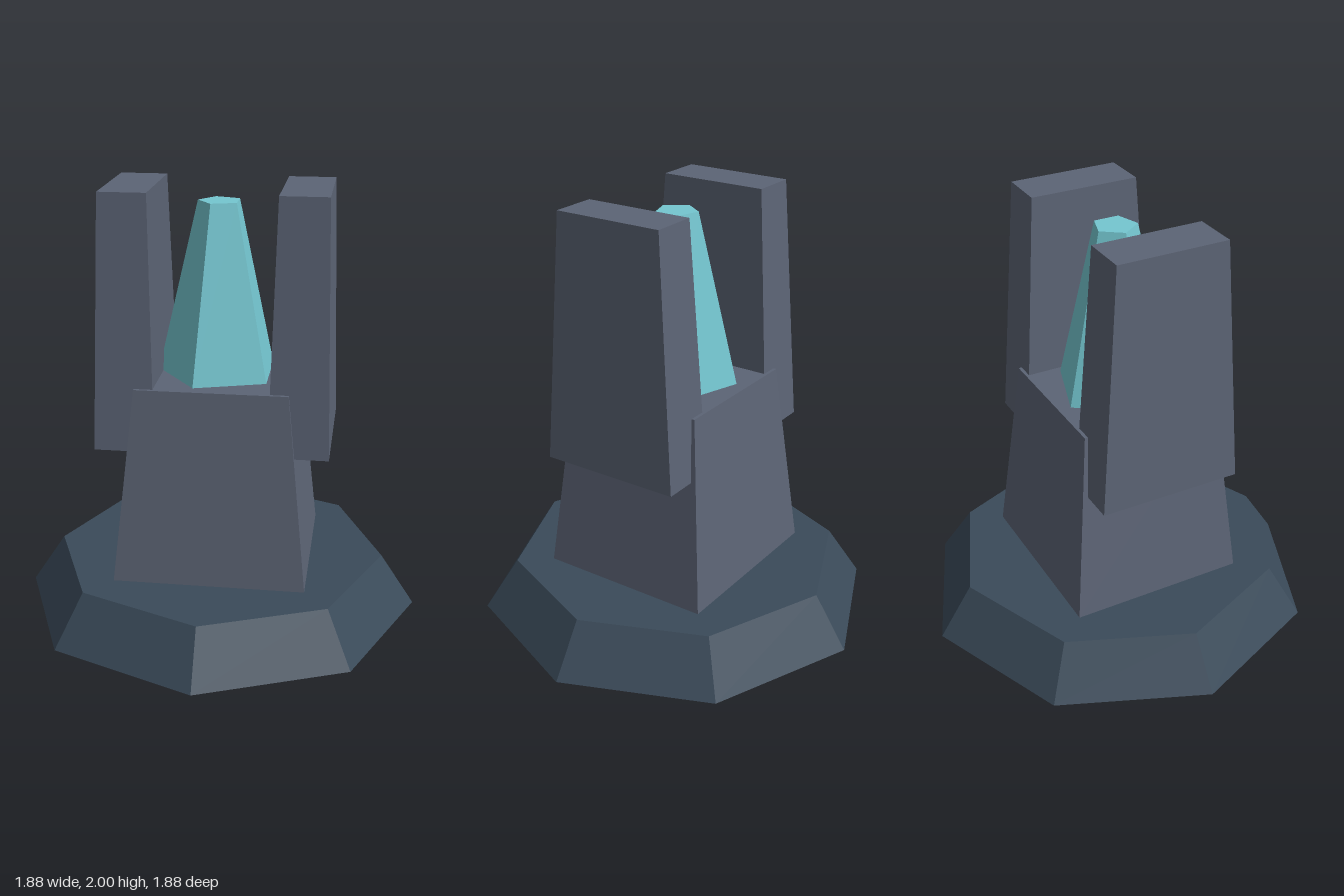
import * as THREE from 'three';

const flat = (name, color) => {
  const m = new THREE.MeshStandardMaterial({ color });
  m.name = name;
  m.flatShading = true;
  return m;
};

// Box whose top is scaled to a smaller width and depth
function taperedBox(w0, d0, w1, d1, y0, y1) {
  const g = new THREE.BoxGeometry(1, y1 - y0, 1);
  const p = g.attributes.position;
  for (let i = 0; i < p.count; i++) {
    const top = p.getY(i) > 0;
    p.setX(i, p.getX(i) * (top ? w1 : w0));
    p.setZ(i, p.getZ(i) * (top ? d1 : d0));
  }
  g.translate(0, (y0 + y1) / 2, 0);
  g.computeVertexNormals();
  return g;
}

export function createModel() {
  const slate = flat('darkSlate', 0x3a4a59);
  const stone = flat('greyStone', 0x5c6475);
  const glow = flat('paleTurquoise', 0x74c6d0);

  const group = new THREE.Group();
  const add = (name, geometry, material) => {
    const mesh = new THREE.Mesh(geometry, material);
    mesh.name = name;
    group.add(mesh);
    return mesh;
  };

  // Eight-sided plinth with corners on the axes
  add('base', new THREE.CylinderGeometry(0.78, 0.938, 0.24, 8), slate).position.y = 0.12;

  // Tapering central pedestal
  add('pedestal', taperedBox(0.876, 0.836, 0.688, 0.66, 0.24, 1.14), stone);

  // Tall slabs clasping the crystal on both sides
  for (const [name, side] of [['leftPillar', 1], ['rightPillar', -1]]) {
    add(name, taperedBox(0.274, 0.668, 0.216, 0.516, 0.85, 2), stone).position.x = side * 0.39;
  }

  // Five-sided crystal, one corner pointing right
  add('crystal', new THREE.CylinderGeometry(0.1, 0.285, 0.79, 5, 1, false, -Math.PI / 2), glow)
    .position.y = 1.535;

  return group;
}
